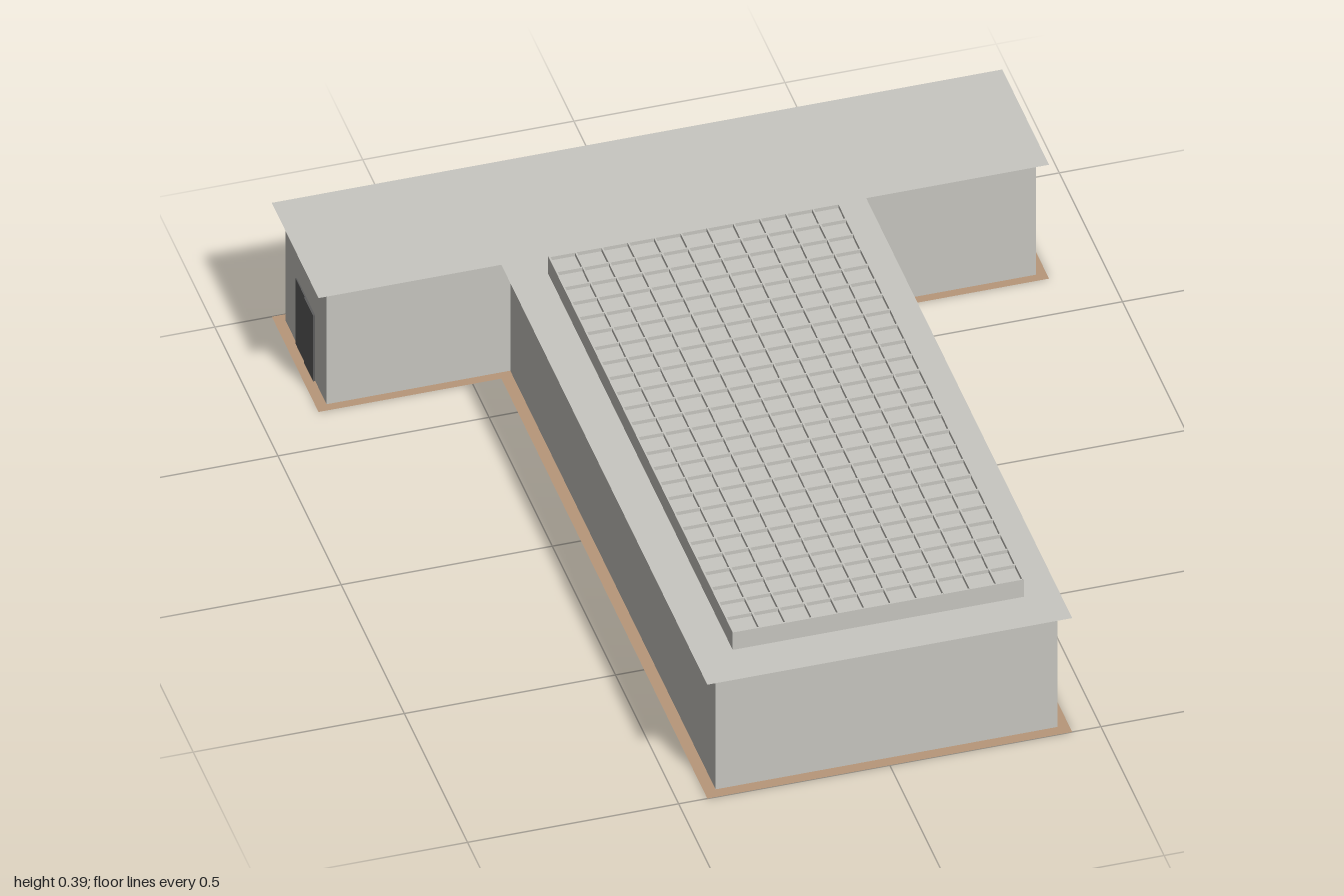
import * as THREE from 'three';

const concrete = new THREE.MeshStandardMaterial({ color: 0xc8c7c1, side: THREE.DoubleSide });
concrete.name = 'concrete';
const earth = new THREE.MeshStandardMaterial({ color: 0xb8977a, side: THREE.DoubleSide });
earth.name = 'earth';
const doorGrey = new THREE.MeshStandardMaterial({ color: 0x5c5c5c });
doorGrey.name = 'doorGrey';

// T-shaped plan: a cross wing at the back and a long hall to the front
function planShape(wingX, hallX, endZ, innerZ) {
  return new THREE.Shape([
    [-hallX, -endZ], [hallX, -endZ], [hallX, innerZ], [wingX, innerZ],
    [wingX, endZ], [-wingX, endZ], [-wingX, innerZ], [-hallX, innerZ],
  ].map(([x, y]) => new THREE.Vector2(x, y)));
}

export function createModel() {
  const model = new THREE.Group();
  model.name = 'building';

  function add(parent, name, geometry, material, x = 0, y = 0, z = 0) {
    const mesh = new THREE.Mesh(geometry, material);
    mesh.name = name;
    mesh.position.set(x, y, z);
    parent.add(mesh);
    return mesh;
  }
  function box(parent, name, material, x0, x1, y0, y1, z0, z1) {
    return add(parent, name, new THREE.BoxGeometry(x1 - x0, y1 - y0, z1 - z0), material,
      (x0 + x1) / 2, (y0 + y1) / 2, (z0 + z1) / 2);
  }

  // Walls between thin overhanging floor and roof sheets
  const wallGeometry = new THREE.ExtrudeGeometry(planShape(0.84, 0.405, 0.975, 0.65),
    { depth: 0.321, bevelEnabled: false });
  add(model, 'walls', wallGeometry.rotateX(-Math.PI / 2), concrete, 0, 0.002, 0);
  const sheet = new THREE.ShapeGeometry(planShape(0.865, 0.432, 1, 0.63)).rotateX(-Math.PI / 2);
  add(model, 'floor', sheet, earth);
  add(model, 'roof', sheet, concrete, 0, 0.326, 0);

  // Raised skylight on a narrower curb
  const skylight = new THREE.Group();
  skylight.name = 'skylight';
  model.add(skylight);
  const halfX = 0.345, back = -0.55, front = 0.91, top = 0.39;
  box(skylight, 'skylightCurb', concrete, -0.245, 0.245, 0.326, 0.342, -0.46, 0.81);
  box(skylight, 'skylightSlab', concrete, -halfX, halfX, 0.34, top - 0.01, back, front);

  // Shallow grid of fins over the slab
  const columns = 11, rows = 25, fin = 0.004;
  for (let i = 0; i <= columns; i++) {
    const x = -halfX + fin / 2 + (2 * halfX - fin) * i / columns;
    box(skylight, 'longFin', concrete, x - fin / 2, x + fin / 2, top - 0.011, top, back, front);
  }
  for (let i = 0; i <= rows; i++) {
    const z = back + fin / 2 + (front - back - fin) * i / rows;
    box(skylight, 'crossFin', concrete, -halfX, halfX, top - 0.011, top - 0.0003,
      z - fin / 2, z + fin / 2);
  }

  // Double doors at both ends of the wing
  for (const side of [-1, 1]) {
    const x = side * 0.841;
    box(model, 'doorLeafBack', doorGrey, x - 0.002, x + 0.002, 0.002, 0.19, -0.885, -0.8125);
    box(model, 'doorLeafFront', doorGrey, x - 0.004, x + 0.004, 0.002, 0.19, -0.8125, -0.74);
  }
  return model;
}
